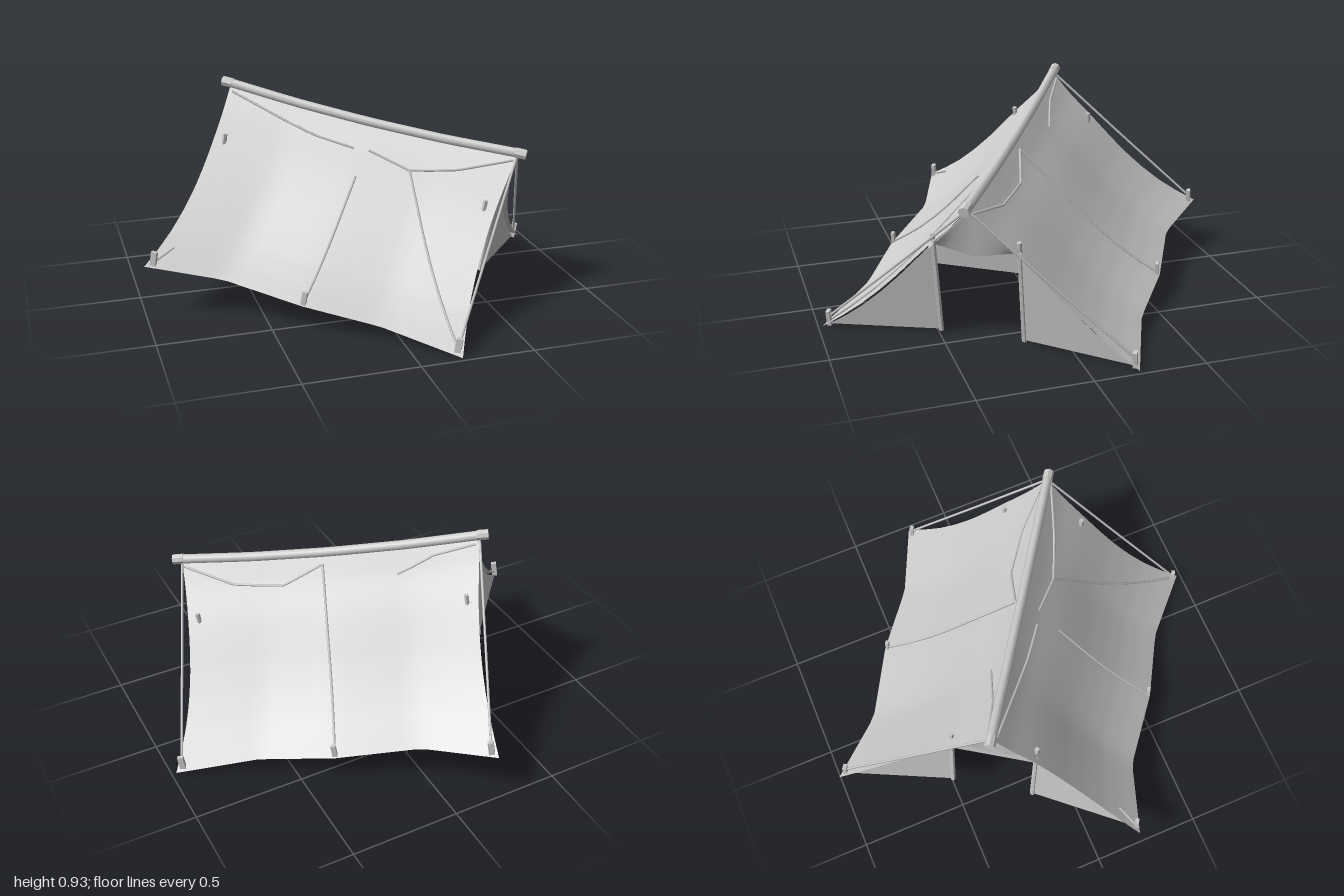
import * as THREE from 'three';

const grey = new THREE.MeshStandardMaterial({ color: 0xcccccc });
const cloth = new THREE.MeshStandardMaterial({ color: 0xcccccc, side: THREE.DoubleSide });
const flat = new THREE.MeshStandardMaterial({ color: 0xcccccc, flatShading: true });
const V = (x, y, z) => new THREE.Vector3(x, y, z);

// Linear lookup in a short list of [position, value] pairs
function lookup(table, x) {
  for (let i = 1; i < table.length; i++) {
    const [x0, y0] = table[i - 1], [x1, y1] = table[i];
    if (x <= x1) return y0 + (y1 - y0) * Math.max(0, (x - x0) / (x1 - x0));
  }
  return table[table.length - 1][1];
}

// Hanging cloth: slack slope profile, scalloped hem, sagging ridge
const PROFILE = [[0, 1], [0.11, 0.86], [0.27, 0.69], [0.4, 0.54], [0.5, 0.425], [0.62, 0.3], [0.75, 0.18], [0.88, 0.08], [1, 0]];
const HEM = [[-1, 0.715], [-0.53, 0.632], [0, 0.668], [0.48, 0.65], [1, 0.715]];
const ridgeY = s => 0.638 + 0.027 * s * s;
function canvasPoint(s, f, side) {
  const x = s * (0.69 + 0.03 * f - 0.04 * Math.sin(Math.PI * f));
  return V(x, ridgeY(s) * lookup(PROFILE, f), side * f * lookup(HEM, s));
}
// Point just above the cloth at tent coordinates x, z
function onCanvas(x, z, lift = 0.006) {
  const s = THREE.MathUtils.clamp(x / 0.7, -1, 1);
  const f = Math.min(1, Math.abs(z) / lookup(HEM, s));
  return V(x, ridgeY(s) * lookup(PROFILE, f) + lift, z);
}

// Sheet of cloth from a function of (row, column) in 0..1
function sheet(fn, rows, cols) {
  const pos = [], idx = [];
  for (let i = 0; i <= rows; i++)
    for (let j = 0; j <= cols; j++) pos.push(...fn(i / rows, j / cols).toArray());
  for (let i = 0; i < rows; i++)
    for (let j = 0; j < cols; j++) {
      const a = i * (cols + 1) + j, b = a + cols + 1;
      idx.push(a, a + 1, b, b, a + 1, b + 1);
    }
  const g = new THREE.BufferGeometry();
  g.setAttribute('position', new THREE.Float32BufferAttribute(pos, 3));
  g.setIndex(idx);
  g.computeVertexNormals();
  return g;
}

export function createModel() {
  const tent = new THREE.Group();
  tent.name = 'tent';
  const add = (name, geo, mat) => {
    const m = new THREE.Mesh(geo, mat);
    m.name = name;
    tent.add(m);
    return m;
  };
  const tube = (name, pts, r, sides = 5) => {
    const curve = new THREE.CatmullRomCurve3(pts, false, 'catmullrom', 0.1);
    return add(name, new THREE.TubeGeometry(curve, Math.max(2, pts.length * 3), r, sides), grey);
  };
  // Rope lying on the cloth through [x, z] points
  const clothRope = (name, pts) => {
    const out = [];
    for (let i = 1; i < pts.length; i++)
      for (let k = i > 1 ? 1 : 0; k <= 6; k++) {
        const t = k / 6;
        out.push(onCanvas(pts[i - 1][0] * (1 - t) + pts[i][0] * t, pts[i - 1][1] * (1 - t) + pts[i][1] * t));
      }
    tube(name, out, 0.006);
  };

  // Roof slopes
  for (const side of [1, -1])
    add(side > 0 ? 'frontSlope' : 'backSlope',
      sheet((a, b) => canvasPoint(2 * a - 1, b, side), 24, 24), cloth);

  // Sagging ridge pole with closed ends
  tube('ridgePole', [-0.72, -0.36, 0, 0.36, 0.72].map(x => V(x, 0.652 + 0.05 * x * x, 0)), 0.022, 8);
  for (const e of [-1, 1]) {
    const cap = add('ridgePoleEnd', new THREE.CylinderGeometry(0.024, 0.024, 0.05, 8), flat);
    cap.rotation.z = Math.PI / 2;
    cap.position.set(e * 0.705, 0.677, 0);
  }

  for (const e of [-1, 1]) {
    const top = z => onCanvas(e * 0.66, z, -0.012).y;
    // Gable cloth and the scalloped valance over it
    add('gablePanel', sheet((a, b) => {
      const z = (2 * a - 1) * 0.2;
      return V(e * 0.615, 0.34 + (top(z) - 0.34) * b, z);
    }, 12, 2), cloth);
    add('gableValance', sheet((a, b) => {
      const z = (2 * a - 1) * 0.2, low = 0.41 + 0.045 * Math.abs(2 * a - 1);
      return V(e * (0.635 + 0.02 * b), low + (top(z) - low) * b, z);
    }, 12, 2), cloth);

    for (const side of [-1, 1]) {
      // Door panel between pole and corner
      add('doorPanel', sheet((a, b) => {
        const z = 0.19 + 0.5 * a;
        return V(e * (0.62 + 0.07 * a), Math.max(0, top(z)) * b, side * z);
      }, 12, 2), cloth);
      // Door pole, its tip poking through the roof
      const pole = add('doorPole', new THREE.CylinderGeometry(0.011, 0.012, 0.5, 6), flat);
      pole.position.set(e * 0.617, 0.243, side * 0.19);
      // Corner stake
      const stake = add('cornerStake', new THREE.BoxGeometry(0.026, 0.075, 0.018), flat);
      stake.position.set(e * 0.69, 0.033, side * 0.69);
    }
  }

  // Hem stakes and the ropes down the middle of each slope
  for (const side of [-1, 1]) {
    const stake = add('hemStake', new THREE.BoxGeometry(0.022, 0.065, 0.016), flat);
    stake.position.set(0, 0.03, side * 0.655);
  }
  clothRope('middleRope', [[0.02, 0.18], [0, 0.655]]);
  clothRope('middleRope', [[0.03, -0.03], [0, -0.655]]);

  // Ropes along the ridge
  clothRope('ridgeRope', [[-0.67, 0.02], [-0.22, 0.075], [-0.03, 0.085]]);
  clothRope('ridgeRope', [[0.04, 0.08], [0.245, 0.114], [0.45, 0.08], [0.68, 0.02]]);
  clothRope('ridgeRope', [[-0.67, -0.02], [-0.48, -0.035], [-0.31, -0.075]]);
  clothRope('ridgeRope', [[0.03, -0.03], [0.22, -0.085], [0.45, -0.075], [0.68, -0.02]]);
  clothRope('slopeRope', [[0.245, 0.114], [0.69, 0.69]]);
  clothRope('cornerRope', [[-0.64, 0.6], [-0.69, 0.69]]);

  // Taut guy ropes from ridge ends to corner stakes
  for (const [e, side] of [[1, 1], [1, -1], [-1, -1]])
    tube('guyRope', [V(e * 0.69, 0.655, side * 0.015), V(e * 0.69, 0.345, side * 0.352), V(e * 0.69, 0.04, side * 0.69)], 0.006);

  // Pitch and turn the whole tent on its sloping ground
  tent.rotation.set(0, -0.588, -0.161);
  tent.position.set(-0.008, 0.125, -0.006);
  const model = new THREE.Group();
  model.name = 'ridgeTent';
  model.add(tent);
  return model;
}
